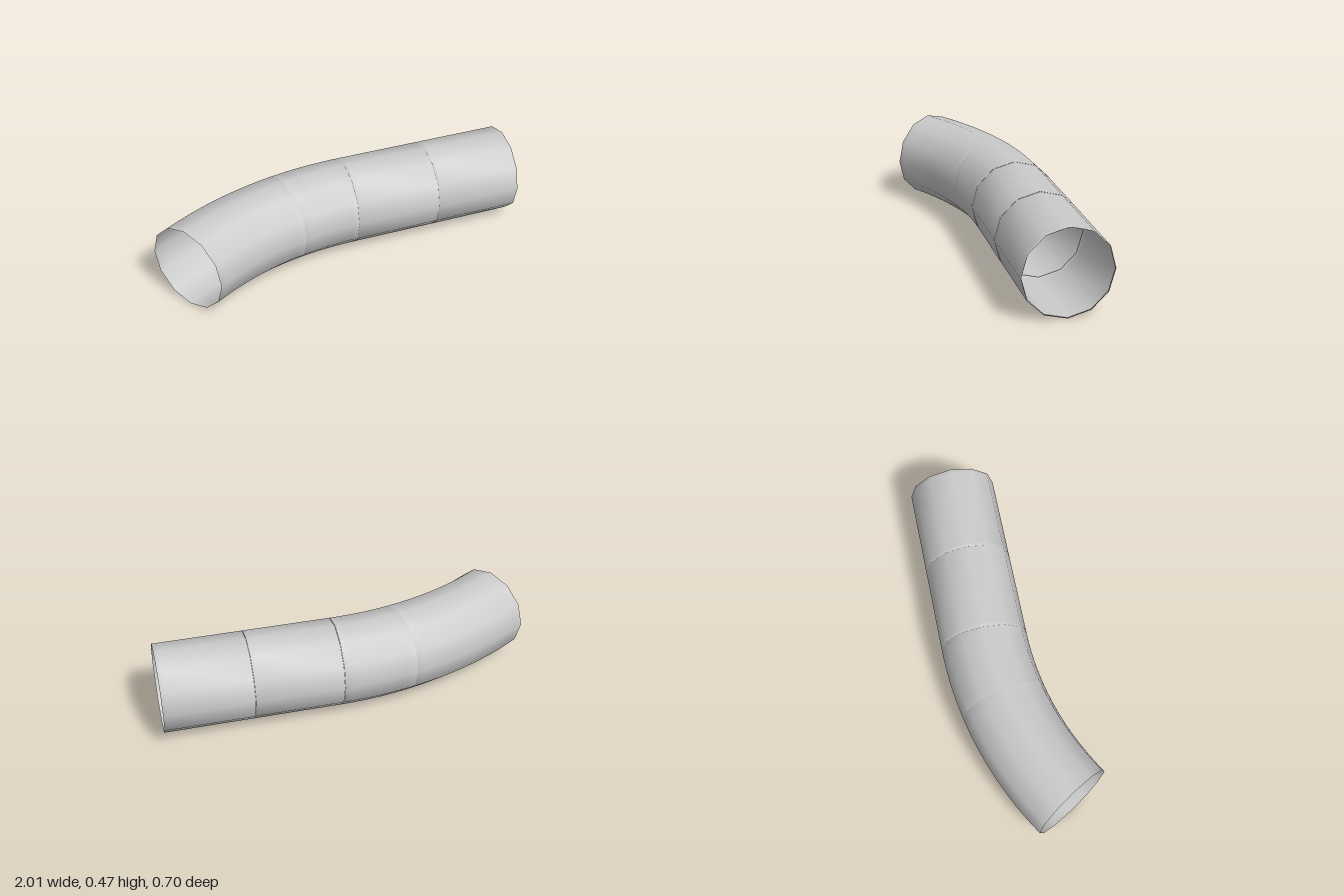
import * as THREE from 'three';

const SIDES = 12, RADIUS = 0.233, LIP = 0.228;
const AXIS_Z = -0.121;                 // axis of the straight run
const BEND_X = 0.065, BEND_R = 1.79;   // where the bend starts and its radius

const material = new THREE.MeshStandardMaterial({ color: 0xcccccc, side: THREE.DoubleSide });

// Thin-walled pipe skinned over rings, listed from +x towards -x
function pipe(name, rings) {
  const pos = [], index = [];
  rings.forEach(({ x, z, t, r }, i) => {
    for (let j = 0; j < SIDES; j++) {
      const a = (j / SIDES) * Math.PI * 2, out = r * Math.cos(a);
      pos.push(x - out * Math.sin(t), RADIUS + r * Math.sin(a), z - out * Math.cos(t));
      if (i === rings.length - 1) continue;
      const k = (j + 1) % SIDES, p = i * SIDES, q = p + SIDES;
      index.push(p + j, q + j, p + k, p + k, q + j, q + k);
    }
  });
  const g = new THREE.BufferGeometry();
  g.setAttribute('position', new THREE.Float32BufferAttribute(pos, 3));
  g.setIndex(index);
  g.computeVertexNormals();
  const mesh = new THREE.Mesh(g, material);
  mesh.name = name;
  return mesh;
}

// Straight length; its left end, and optionally its right end, turns in to a small lip
function straight(name, x0, x1, rightLip) {
  const ring = (x, r) => ({ x, z: AXIS_Z, t: 0, r });
  const rings = rightLip ? [ring(x1, LIP), ring(x1, RADIUS), ring(x1 - 0.02, RADIUS)] : [ring(x1, RADIUS)];
  rings.push(ring(x0 + 0.02, RADIUS), ring(x0 + 0.002, RADIUS), ring(x0, LIP));
  return pipe(name, rings);
}

// Part of the horizontal bend between two angles in degrees
function bend(name, from, to, steps) {
  const rings = [];
  for (let i = 0; i <= steps; i++) {
    const t = THREE.MathUtils.degToRad(from + ((to - from) * i) / steps);
    rings.push({
      x: BEND_X - BEND_R * Math.sin(t),
      z: AXIS_Z + BEND_R * (1 - Math.cos(t)),
      t, r: RADIUS,
    });
  }
  return pipe(name, rings);
}

export function createModel() {
  const group = new THREE.Group();
  group.name = 'curvedPipe';
  group.add(
    straight('endPipe', 0.53, 1, true),
    straight('middlePipe', BEND_X, 0.53, false),
    bend('shortBend', 0, 11.4, 8),
    bend('longBend', 11.4, 32, 14),
  );
  return group;
}
